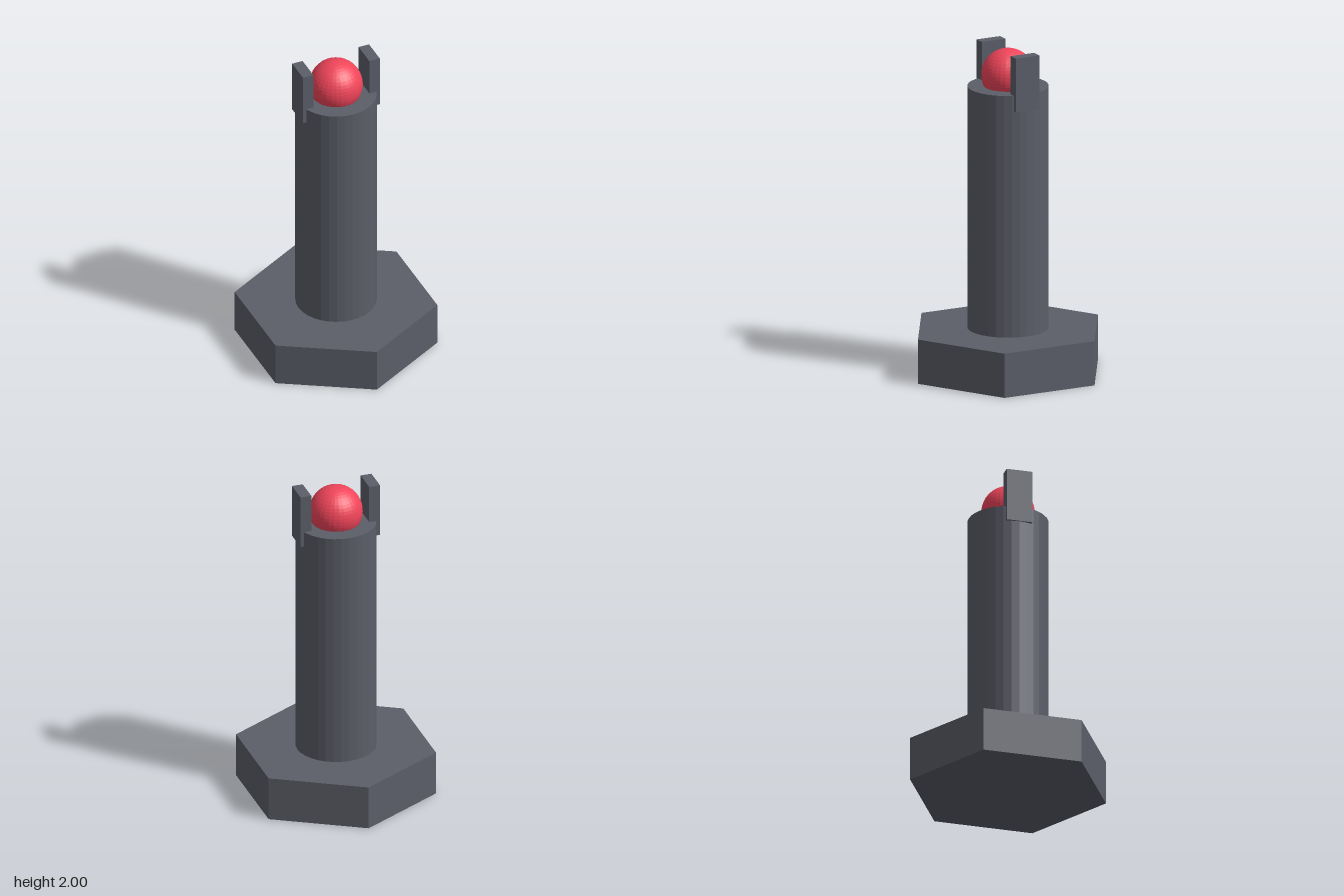
import * as THREE from 'three';

export function createModel() {
  const group = new THREE.Group();
  const grey = new THREE.MeshStandardMaterial({ color: 0x5b5e68, flatShading: true });
  const red = new THREE.MeshStandardMaterial({ color: 0xf0455a, flatShading: true });

  const add = (name, geometry, material, x, y, z = 0) => {
    const mesh = new THREE.Mesh(geometry, material);
    mesh.name = name;
    mesh.position.set(x, y, z);
    group.add(mesh);
  };

  // Hexagonal foot with corners pointing to the front and back
  const baseH = 0.273;
  add('hexBase', new THREE.CylinderGeometry(0.608, 0.608, baseH, 6), grey, 0, baseH / 2);

  // Round column
  const topY = 1.765;
  add('column', new THREE.CylinderGeometry(0.243, 0.243, topY - baseH, 32), grey, 0, (topY + baseH) / 2);

  // Ball seated in the top of the column
  add('ball', new THREE.SphereGeometry(0.16, 32, 24), red, 0, 1.833);

  // Two upright prongs beside the ball
  for (const side of [1, -1]) {
    const name = side > 0 ? 'leftProng' : 'rightProng';
    add(name, new THREE.BoxGeometry(0.068, 0.332, 0.16), grey, side * 0.216, 1.834);
  }

  return group;
}
